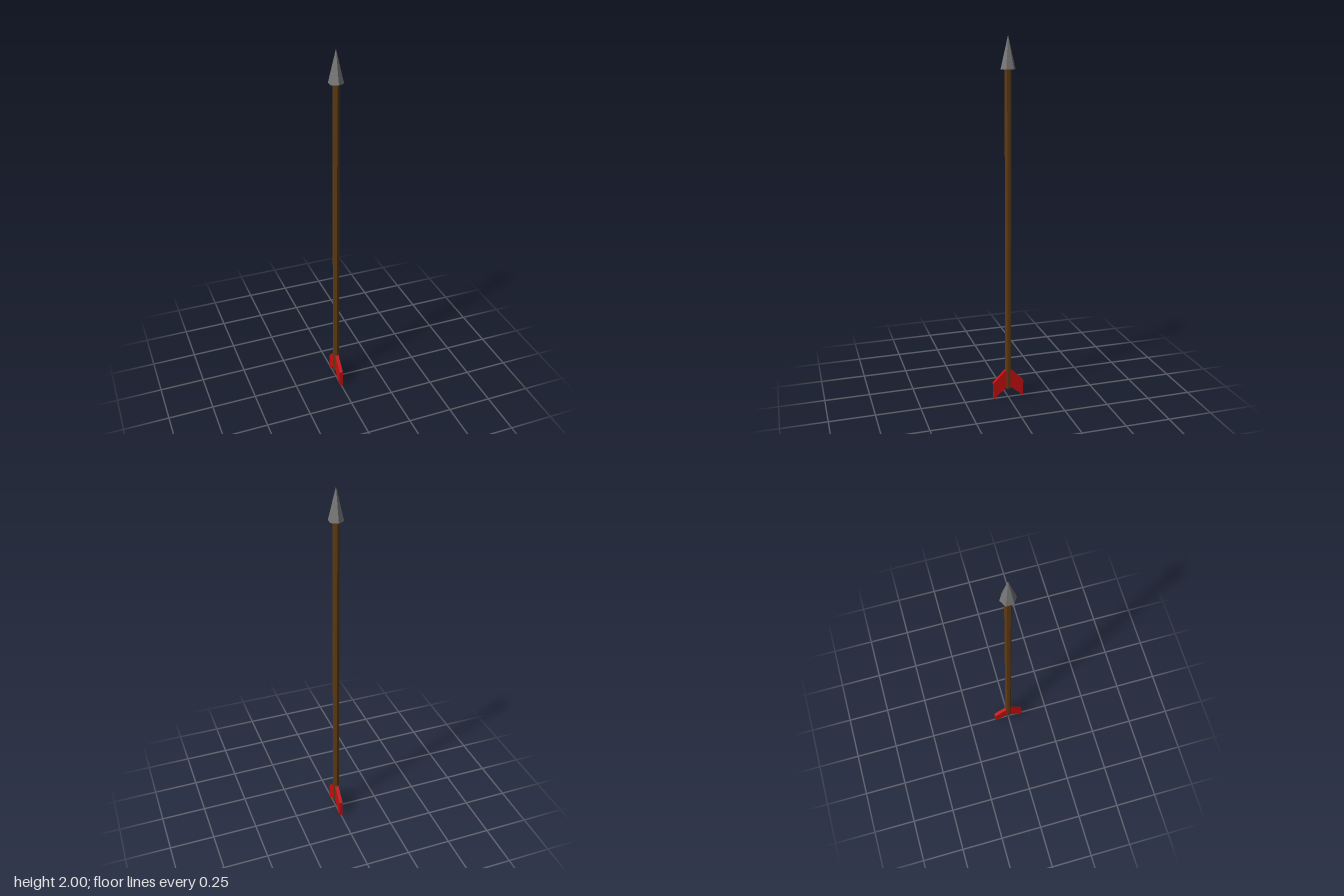
import * as THREE from 'three';

export function createModel() {
  const model = new THREE.Group();
  model.name = 'arrow';

  const material = (name, color) => {
    const m = new THREE.MeshStandardMaterial({ color, flatShading: true });
    m.name = name;
    return m;
  };
  const wood = material('brown wood', 0x5e3a14);
  const steel = material('grey steel', 0x757575);
  const feather = material('red feather', 0xc40f10);

  const add = (name, geometry, mat) => {
    const mesh = new THREE.Mesh(geometry, mat);
    mesh.name = name;
    model.add(mesh);
    return mesh;
  };

  // Six-sided shaft, its corners pointing to the front and back
  const shaftBottom = 0.06, headBottom = 1.83;
  const shaftLength = headBottom - shaftBottom;
  add('shaft', new THREE.CylinderGeometry(0.018, 0.018, shaftLength, 6), wood)
    .position.y = shaftBottom + shaftLength / 2;

  // Six-sided pointed head with a closed base
  const headLength = 2 - headBottom;
  add('head', new THREE.ConeGeometry(0.04, headLength, 6), steel)
    .position.y = headBottom + headLength / 2;

  // Swept-back fin, drawn outward from the shaft and extruded through its thickness
  const thickness = 0.02;
  const outline = new THREE.Shape([
    new THREE.Vector2(0.004, 0.074),
    new THREE.Vector2(0.087, 0.004),
    new THREE.Vector2(0.087, 0.1),
    new THREE.Vector2(0.004, 0.184),
  ]);
  const finGeometry = new THREE.ExtrudeGeometry(outline, { depth: thickness, bevelEnabled: false });
  finGeometry.translate(0, 0, -thickness / 2);

  // One fin at the front and one at the back
  for (const [name, turn] of [['frontFin', -Math.PI / 2], ['backFin', Math.PI / 2]]) {
    add(name, finGeometry, feather).rotation.y = turn;
  }

  return model;
}
